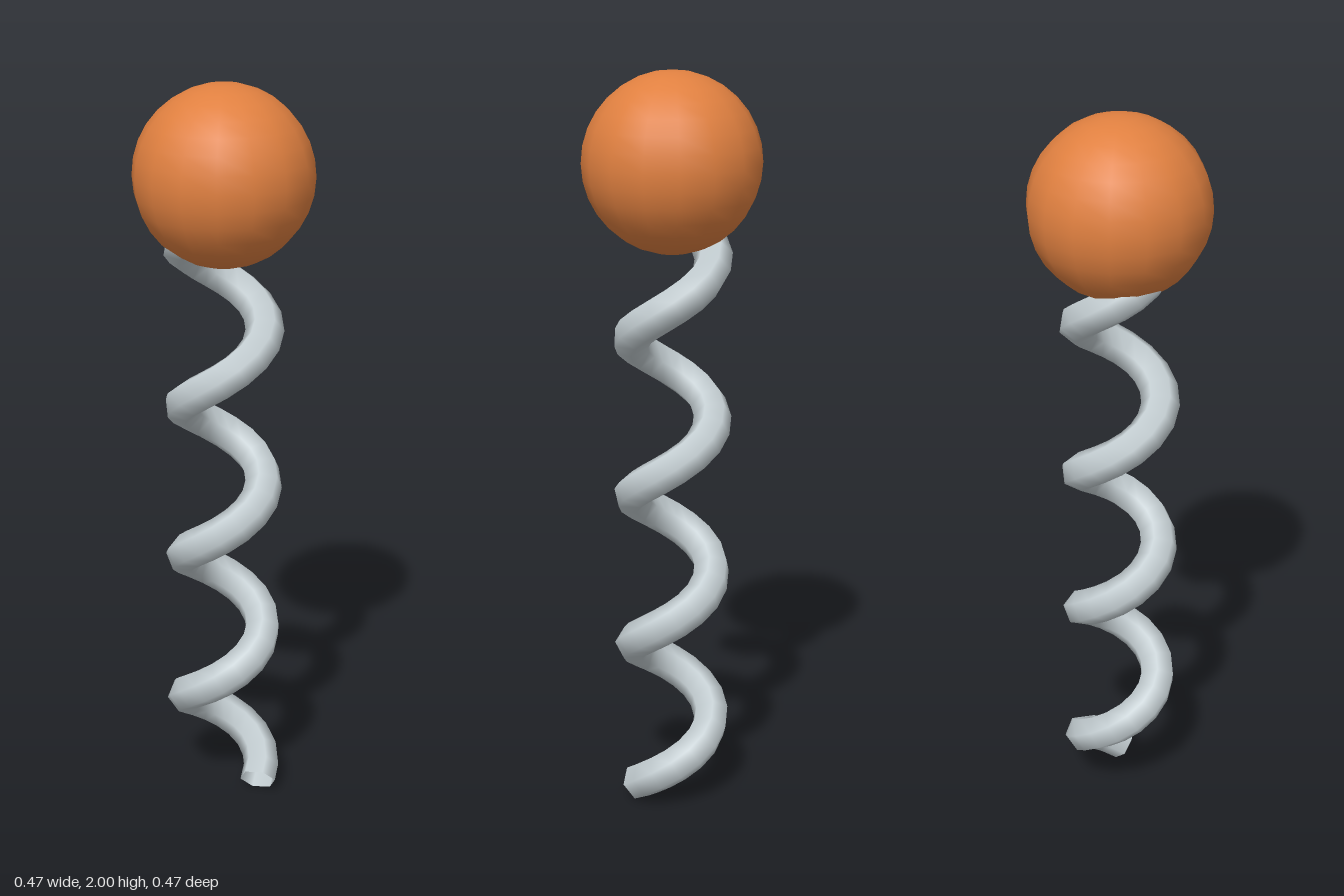
import * as THREE from 'three';

const BALL_RADIUS = 0.235;
const BALL_Y = 2 - BALL_RADIUS;
const COIL_RADIUS = 0.108;
const WIRE_RADIUS = 0.051;
const START_Y = 0.038;
const TURNS = 4;
const POINTS_PER_TURN = 12;

export function createModel() {
  const orange = new THREE.MeshStandardMaterial({ color: 0xe08040 });
  orange.name = 'orange';
  const paleGrey = new THREE.MeshStandardMaterial({ color: 0xc4ced2, side: THREE.DoubleSide });
  paleGrey.name = 'paleGrey';

  const group = new THREE.Group();
  group.name = 'springBall';

  // Coiled spring: rises from the ground into the middle of the ball
  const points = [];
  const count = TURNS * POINTS_PER_TURN;
  for (let i = 0; i <= count; i++) {
    const t = i / count;
    const angle = t * TURNS * Math.PI * 2;
    points.push(new THREE.Vector3(
      Math.cos(angle) * COIL_RADIUS,
      START_Y + t * (BALL_Y - START_Y),
      -Math.sin(angle) * COIL_RADIUS
    ));
  }
  const path = new THREE.CatmullRomCurve3(points);
  const spring = new THREE.Mesh(new THREE.TubeGeometry(path, 64, WIRE_RADIUS, 6, false), paleGrey);
  spring.name = 'spring';
  group.add(spring);

  // Ball on top
  const ball = new THREE.Mesh(new THREE.SphereGeometry(BALL_RADIUS, 16, 16), orange);
  ball.name = 'ball';
  ball.position.y = BALL_Y;
  group.add(ball);

  return group;
}
